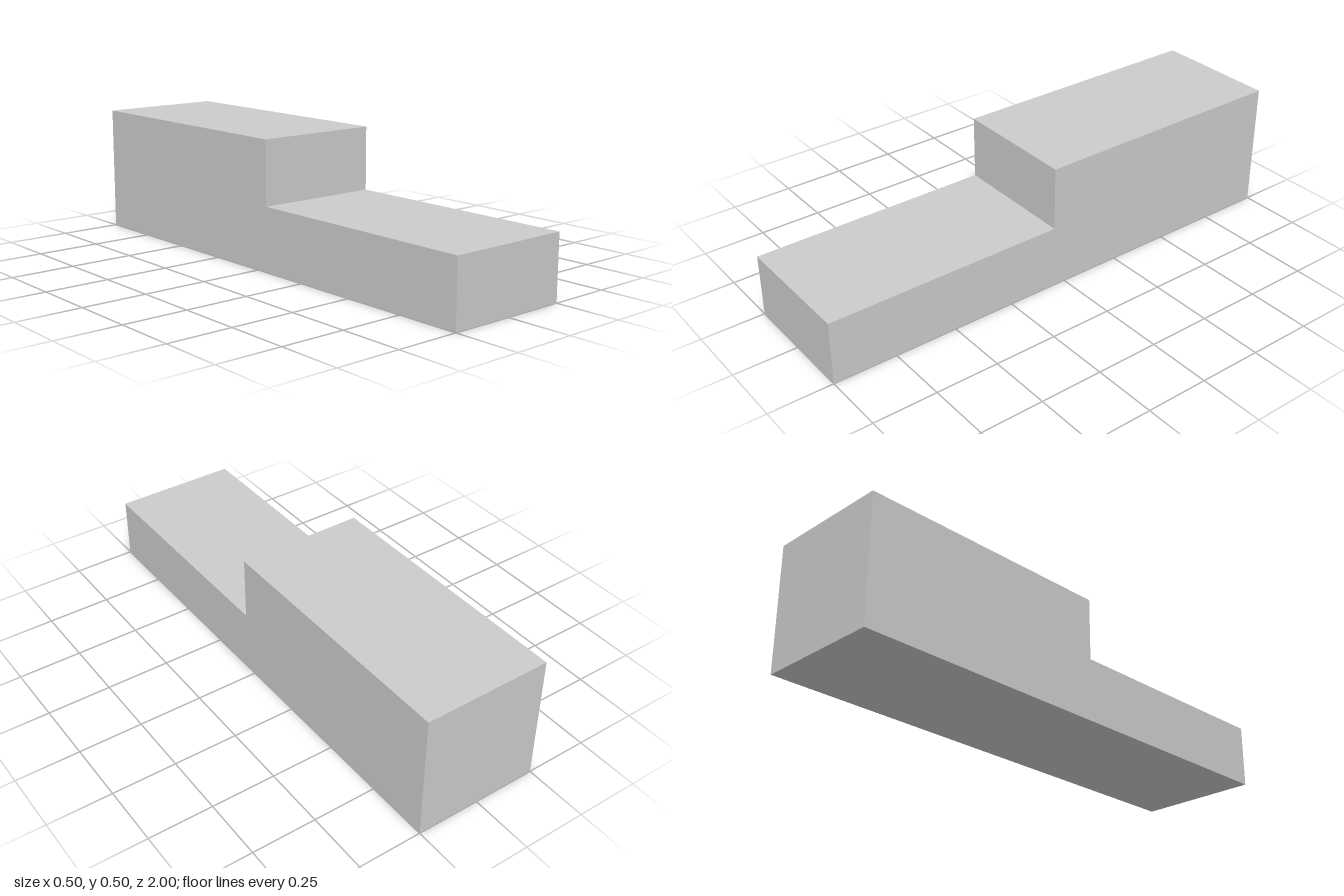
import * as THREE from 'three';

const WIDTH = 0.5;
const LOW = 0.25;    // height of the front tread
const HIGH = 0.5;    // height of the rear block
const STEP_Z = 0.05; // where the riser stands

export function createModel() {
  const group = new THREE.Group();
  group.name = 'steppedBlock';

  // Side profile, drawn as (z, y)
  const profile = new THREE.Shape([
    [-1, 0], [1, 0], [1, LOW], [STEP_Z, LOW], [STEP_Z, HIGH], [-1, HIGH],
  ].map(([z, y]) => new THREE.Vector2(z, y)));

  // Extrude across the width, then turn the profile to run along z
  const geometry = new THREE.ExtrudeGeometry(profile, { depth: WIDTH, bevelEnabled: false });
  geometry.translate(0, 0, -WIDTH / 2);
  geometry.rotateY(-Math.PI / 2);

  const block = new THREE.Mesh(
    geometry,
    new THREE.MeshStandardMaterial({ color: 0xcccccc, flatShading: true }),
  );
  block.name = 'stepBody';
  group.add(block);
  return group;
}
